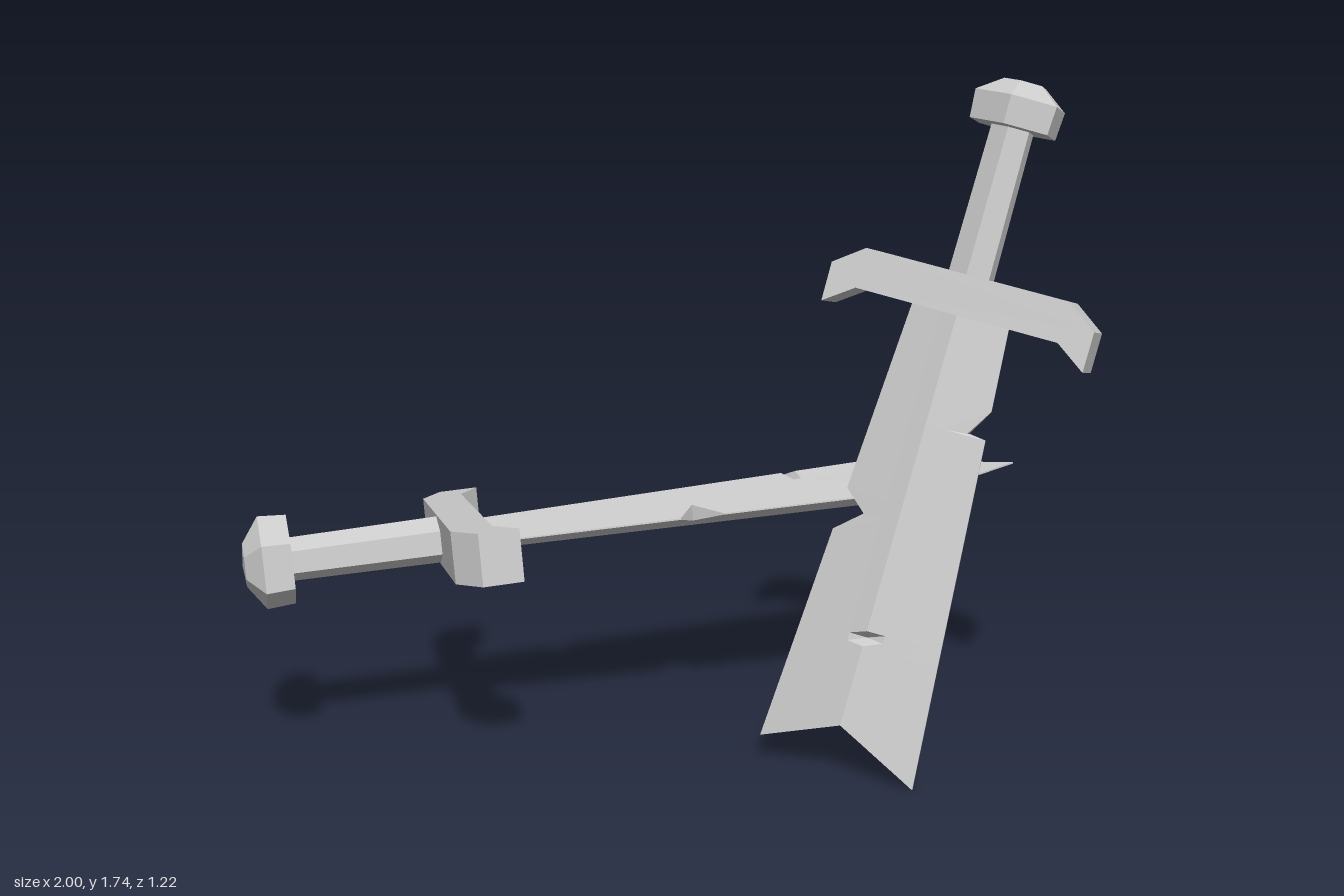
import * as THREE from 'three';

const material = new THREE.MeshStandardMaterial({ color: 0xcccccc, flatShading: true });
const SHOULDER = 1.69, TIP = 1.997, SKEW = 0.11;

function add(group, name, geometry) {
  const mesh = new THREE.Mesh(geometry, material);
  mesh.name = name;
  group.add(mesh);
  return mesh;
}

// Diamond-section blade along +y, swept through stations with nicks in the edges and a gash in the ridge
function bladeGeometry(broken) {
  const stations = [
    { s: 0.45 }, { s: 0.72 }, { s: 0.788, left: 0.1 }, { s: 0.792 },
    { s: 1.006 }, { s: 1.054, right: 0.097 }, { s: 1.117 },
    { s: 1.33 }, { s: 1.35, dip: 0.025 }, { s: 1.37 }, { s: SHOULDER, skew: SKEW },
  ];
  if (!broken) {
    stations.push({ s: 1.775 }, { s: 1.811, left: 0.08 }, { s: 1.839 }, { s: TIP });
  }
  const positions = [];
  const indices = [];
  stations.forEach(({ s, left, right, dip = 0, skew = 0 }) => {
    let width = 0.125 + 0.07 * (s - 0.5);
    let height = 0.04 + 0.02 * Math.min(1, (s - 0.45) / 1.13);
    if (s >= SHOULDER) {
      const taper = (TIP - s) / (TIP - SHOULDER);
      width = 0.208 * taper + 0.001;
      height = 0.06 * taper;
      skew = SKEW * taper;
    }
    const inner = Math.min(0.045, width * 0.4);
    const columns = [-(left ?? width), -inner, 0, inner, right ?? width];
    const front = columns.map((t) => {
      const k = Math.max(0, 1 - Math.abs(t) / width);
      return [t, s - skew * k, Math.max(0.002, height * k)];
    });
    const back = front.map(([x, y, z]) => [x, y, -z]).reverse();
    front[2][2] -= dip;
    positions.push(...front.flat(), ...back.flat());
  });
  const n = 10;
  for (let i = 0; i < stations.length - 1; i++) {
    for (let j = 0; j < n; j++) {
      const a = i * n + j, b = i * n + (j + 1) % n;
      indices.push(a, b, b + n, a, b + n, a + n);
    }
  }
  // Close both ends
  const end = (stations.length - 1) * n;
  for (let j = 0; j < 4; j++) {
    const a = j, b = j + 1, c = 8 - j, d = 9 - j;
    indices.push(end + a, end + b, end + c, end + a, end + c, end + d);
    indices.push(a, c, b, a, d, c);
  }
  const geometry = new THREE.BufferGeometry();
  geometry.setAttribute('position', new THREE.Float32BufferAttribute(positions, 3));
  geometry.setIndex(indices);
  const flat = geometry.toNonIndexed();
  flat.computeVertexNormals();
  return flat;
}

// Crossguard with ends bent towards the blade
function guardGeometry() {
  const half = [[0.26, 0.41], [0.337, 0.465], [0.337, 0.565], [0.26, 0.512]];
  const outline = [...half, ...half.map(([x, y]) => [-x, y]).reverse()];
  const shape = new THREE.Shape(outline.map(([x, y]) => new THREE.Vector2(x, y)));
  return new THREE.ExtrudeGeometry(shape, { depth: 0.13, bevelEnabled: false }).translate(0, 0, -0.065);
}

// Sword with the pommel at the origin and the blade along +y
function createSword(name, broken) {
  const sword = new THREE.Group();
  sword.name = name;
  add(sword, 'blade', bladeGeometry(broken));
  add(sword, 'crossguard', guardGeometry());
  add(sword, 'grip', new THREE.CylinderGeometry(0.06, 0.055, 0.42, 6).translate(0, 0.23, 0));
  const profile = [[0, -0.078], [0.055, -0.073], [0.118, -0.03], [0.113, 0.04], [0, 0.042]];
  add(sword, 'pommel', new THREE.LatheGeometry(profile.map(([r, y]) => new THREE.Vector2(r, y)), 6));
  return sword;
}

// Place a sword by its pommel position, blade direction and guard direction
function place(sword, position, blade, guard) {
  const y = new THREE.Vector3(...blade).normalize();
  const z = new THREE.Vector3(...guard).cross(y).normalize();
  const x = new THREE.Vector3().crossVectors(y, z);
  sword.quaternion.setFromRotationMatrix(new THREE.Matrix4().makeBasis(x, y, z));
  sword.position.set(...position);
  return sword;
}

export function createModel() {
  const model = new THREE.Group();
  model.name = 'crossedSwords';
  model.add(
    place(createSword('uprightBrokenSword', true), [0.76, 1.665, -0.28], [-0.195, -0.957, 0.22], [-0.98, 0.167, -0.095]),
    place(createSword('lyingSword', false), [-0.91, 0.585, 0.505], [0.83, 0.045, -0.555], [0.555, 0.155, 0.815]),
  );
  return model;
}
